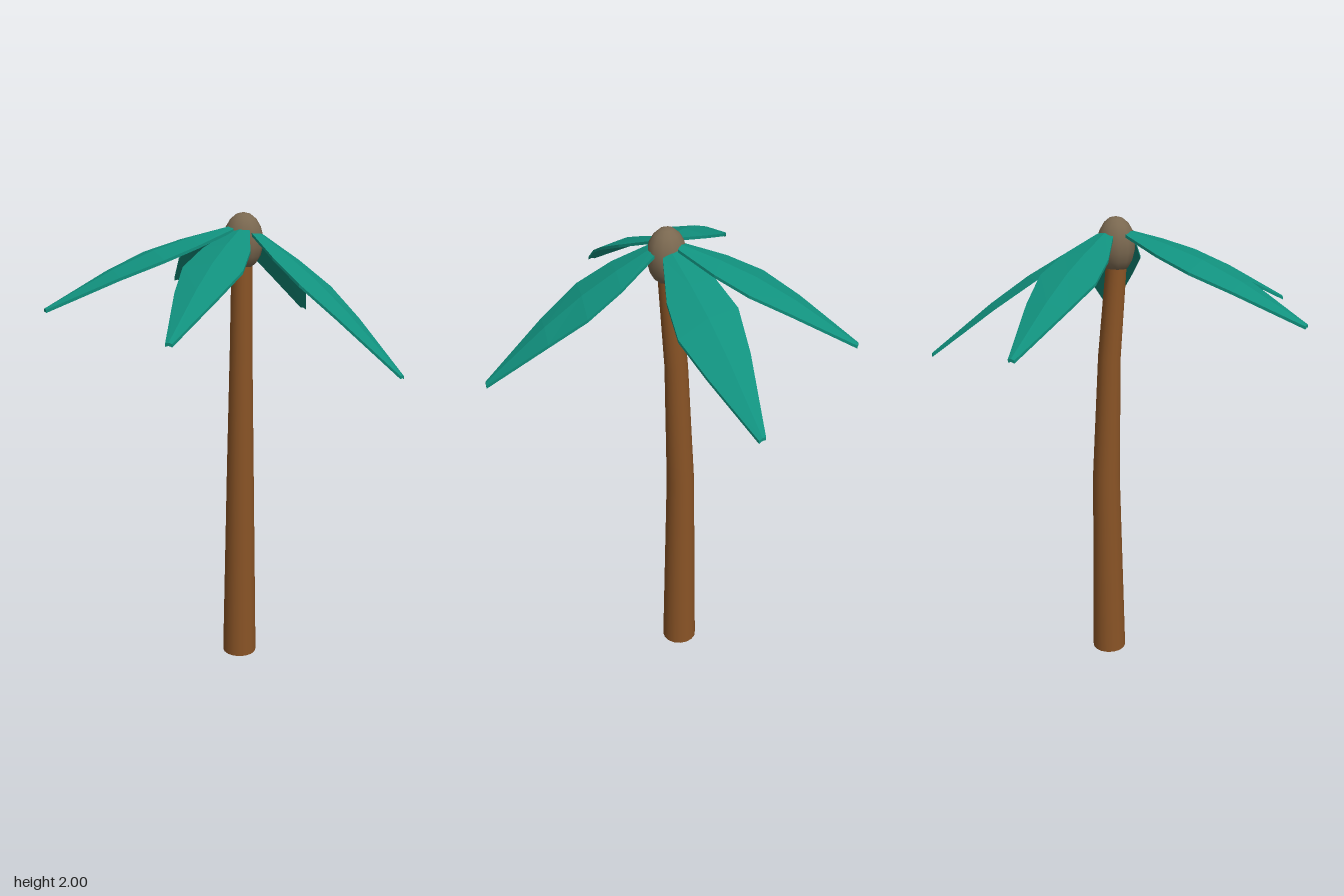
import * as THREE from 'three';

const bark = new THREE.MeshStandardMaterial({ color: 0x8a5426 });
bark.name = 'bark brown';
const husk = new THREE.MeshStandardMaterial({ color: 0x7a6850 });
husk.name = 'husk taupe';
const green = new THREE.MeshStandardMaterial({ color: 0x11917e, flatShading: true, side: THREE.DoubleSide });
green.name = 'leaf green';

// Curved, tapering trunk: a cylinder whose rings are moved onto [y, z, radius]
function makeTrunk() {
  const rings = [[0, -0.047, 0.075], [0.88, -0.056, 0.059], [1.42, -0.035, 0.048], [1.8, 0.003, 0.043]];
  const geo = new THREE.CylinderGeometry(1, 1, 1, 16, rings.length - 1);
  const p = geo.attributes.position;
  for (let i = 0; i < p.count; i++) {
    const [y, z, r] = rings[Math.round((p.getY(i) + 0.5) * (rings.length - 1))];
    p.setXYZ(i, 0.078 + p.getX(i) * r, y, z + p.getZ(i) * r);
  }
  const trunk = new THREE.Mesh(geo, bark);
  trunk.name = 'trunk';
  return trunk;
}

// Leaf stations: [fraction of length, half width, upward bulge, ridge height]
const stations = [
  [0.07, 0.036, 0, 0.008],
  [0.28, 0.1, 0.014, 0.018],
  [0.465, 0.124, 0.022, 0.022],
  [0.67, 0.09, 0.02, 0.018],
  [1, 0.014, 0, 0.004],
];

// Thin ridged leaf from root to tip; roll lowers the right-hand edge
function makeLeaf({ name, root, tip, roll }) {
  const a = new THREE.Vector3(...root);
  const b = new THREE.Vector3(...tip);
  const side = new THREE.Vector3(a.z - b.z, 0, b.x - a.x).normalize();
  const verts = [];
  const index = [];
  const thick = 0.012;
  for (const [f, w, bulge, ridge] of stations) {
    const c = a.clone().lerp(b, f);
    c.y += bulge;
    for (const [s, h] of [[-1, 0], [0, ridge], [1, 0], [1, -thick], [0, ridge - thick], [-1, -thick]]) {
      verts.push(c.x + side.x * w * s, c.y + h - roll * w * s, c.z + side.z * w * s);
    }
  }
  const n = 6;
  for (let i = 0; i < stations.length - 1; i++) {
    for (let j = 0; j < n; j++) {
      const p = i * n + j, q = i * n + (j + 1) % n;
      index.push(p, q, p + n, q, q + n, p + n);
    }
  }
  // Root and tip ends
  const e = (stations.length - 1) * n;
  index.push(0, 5, 1, 1, 5, 4, 1, 4, 2, 2, 4, 3);
  index.push(e, e + 1, e + 5, e + 1, e + 4, e + 5, e + 1, e + 2, e + 4, e + 2, e + 3, e + 4);
  const geo = new THREE.BufferGeometry();
  geo.setAttribute('position', new THREE.Float32BufferAttribute(verts, 3));
  geo.setIndex(index);
  geo.computeVertexNormals();
  const leaf = new THREE.Mesh(geo, green);
  leaf.name = name;
  return leaf;
}

export function createModel() {
  const palm = new THREE.Group();
  palm.name = 'palmTree';
  palm.add(makeTrunk());

  // Rounded crown at the top of the trunk
  const crown = new THREE.Mesh(new THREE.SphereGeometry(1, 12, 9), husk);
  crown.scale.set(0.082, 0.116, 0.078);
  crown.position.set(0.083, 1.884, 0.006);
  crown.name = 'crown';
  palm.add(crown);

  // Five drooping leaves
  const leaves = [
    { name: 'rightLeaf', root: [0.083, 1.96, 0.01], tip: [-0.685, 1.668, 0.325], roll: 0 },
    { name: 'frontLeaf', root: [0.094, 1.96, 0.006], tip: [-0.2, 1.616, 0.692], roll: 0 },
    { name: 'leftLeaf', root: [0.084, 1.965, -0.005], tip: [0.68, 1.428, 0.433], roll: -0.18 },
    { name: 'backLeftLeaf', root: [0.1, 1.95, 0], tip: [0.396, 1.482, -0.693], roll: 0.3 },
    { name: 'backRightLeaf', root: [0.094, 1.96, -0.006], tip: [-0.208, 1.618, -0.695], roll: 0 },
  ];
  for (const l of leaves) palm.add(makeLeaf(l));
  return palm;
}
